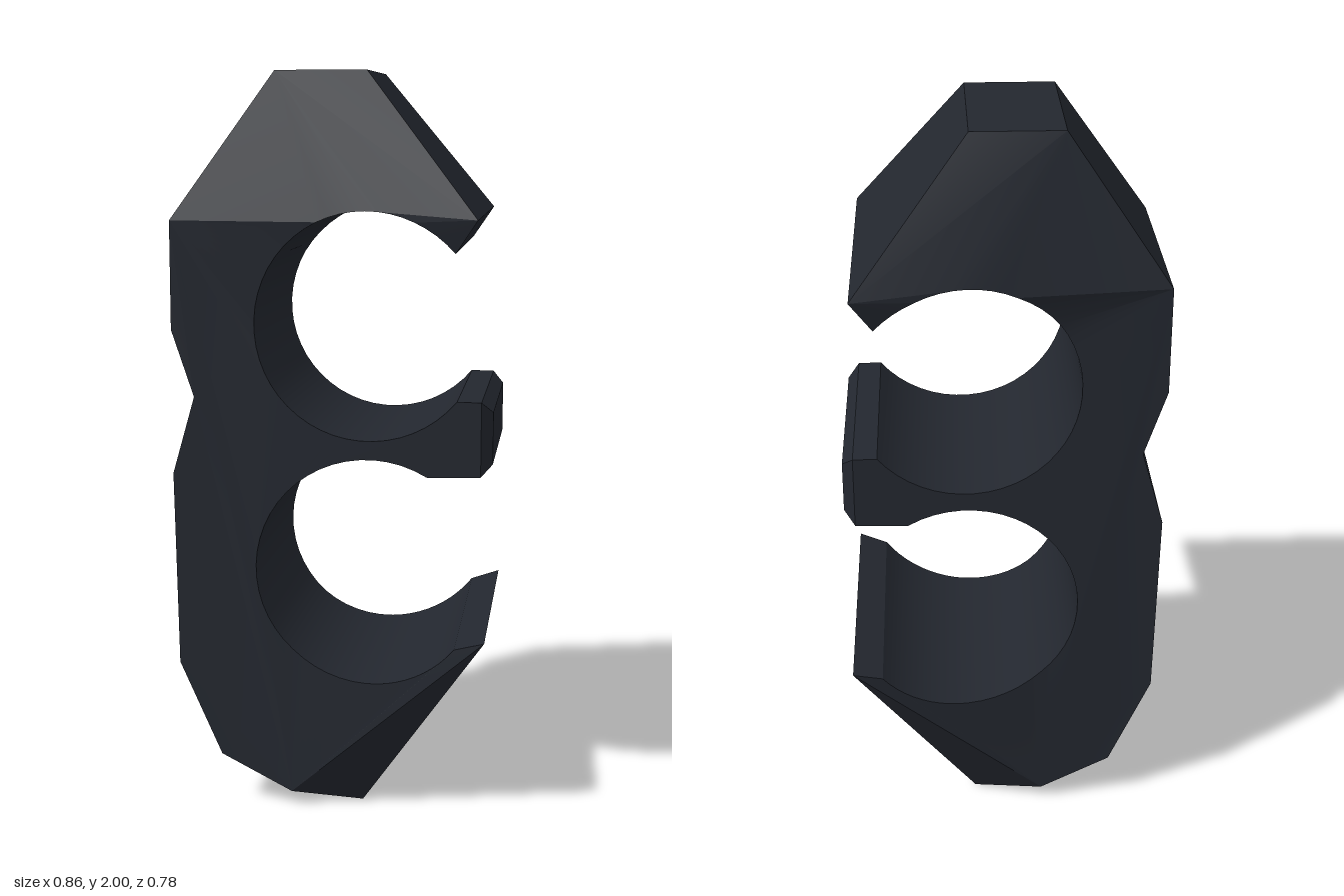
import * as THREE from 'three';
import { toCreasedNormals } from 'three/addons/utils/BufferGeometryUtils.js';

const D = 0.305; // half depth of the body
const R = 0.305; // radius of both channels

// A profile point: x, y, and the half depth of the front and back faces there.
const pt = (x, y, front = D, back = front) => ({ x, y, front, back });

// Clockwise arc of a channel; depth(x, y) returns [front, back].
function arc(cy, from, to, n, depth) {
  return Array.from({ length: n + 1 }, (_, i) => {
    const a = THREE.MathUtils.degToRad(from + (to - from) * i / n);
    const x = 0.1 + R * Math.cos(a), y = cy + R * Math.sin(a);
    return pt(x, y, ...depth(x, y));
  });
}

// The upper jaw flares outwards towards its open end.
function upperDepth(x, y) {
  const flare = 0.104 * (x + 0.43);
  const ramp = start => THREE.MathUtils.clamp((y - start) / (1.61 - start), 0, 1);
  return [D + flare * ramp(1.33), D + flare * ramp(x > 0.1 ? 1.33 : 1.5)];
}

// The lower jaw flares from the bottom of its channel to its tip.
function lowerDepth(x, y) {
  if (y > 0.68 || x < -0.1) return [D, D];
  const z = x < 0.1 ? D + 0.03 * (x + 0.1) / 0.2 : 0.335 + 0.037 * (x - 0.1) / 0.24;
  return [z, z];
}

function clipGeometry() {
  const crown = [pt(0.39, 1.62, 0.39), pt(0.085, 2, 0.22), pt(-0.16, 2, 0.22)];
  const spine = [pt(-0.43, 1.61), pt(-0.43, 1.32), pt(-0.37, 1.14), pt(-0.43, 0.93),
    pt(-0.42, 0.4), pt(-0.305, 0.14), pt(-0.11, 0.04)];
  const lowerLip = [pt(0.08, 0, 0.235), pt(0.42, 0.51, 0.387)];
  const lowerTipArc = arc(0.675, -38.4, -90, 10, lowerDepth);
  const lowerArc = arc(0.675, -90, -301, 30, lowerDepth);
  const prong = [pt(0.4, 0.94), pt(0.43, 0.97, 0.27), pt(0.43, 1.11, 0.27), pt(0.4, 1.14)];
  const upperArc = arc(1.335, -39.5, -244.4, 30, upperDepth);
  const upperTipArc = arc(1.335, -244.4, -319.5, 12, upperDepth);

  const outline = [...crown, ...spine, ...lowerLip, ...lowerTipArc, ...lowerArc.slice(1),
    ...prong, ...upperArc, ...upperTipArc.slice(1)];
  // Face regions, split along the fold lines
  const regions = [
    [...upperTipArc, ...crown, spine[0]],
    [...spine, ...lowerArc, prong[0], prong[3], ...upperArc],
    [spine[6], ...lowerLip, ...lowerTipArc],
    prong,
  ];

  const pos = [];
  const front = p => pos.push(p.x, p.y, p.front);
  const back = p => pos.push(p.x, p.y, -p.back);

  // Walls following the outline
  outline.forEach((a, i) => {
    const b = outline[(i + 1) % outline.length];
    back(a); back(b); front(b);
    back(a); front(b); front(a);
  });

  // Front and back faces
  for (const region of regions) {
    const flat = region.map(p => new THREE.Vector2(p.x, p.y));
    for (const [a, b, c] of THREE.ShapeUtils.triangulateShape(flat, [])) {
      [a, b, c].forEach(i => front(region[i]));
      [a, c, b].forEach(i => back(region[i]));
    }
  }

  const geometry = new THREE.BufferGeometry();
  geometry.setAttribute('position', new THREE.Float32BufferAttribute(pos, 3));
  return toCreasedNormals(geometry, 0.16);
}

export function createModel() {
  const group = new THREE.Group();
  group.name = 'doubleChannelClip';
  const body = new THREE.Mesh(clipGeometry(), new THREE.MeshStandardMaterial({ color: 0x23272f }));
  body.name = 'clipBody';
  group.add(body);
  return group;
}
